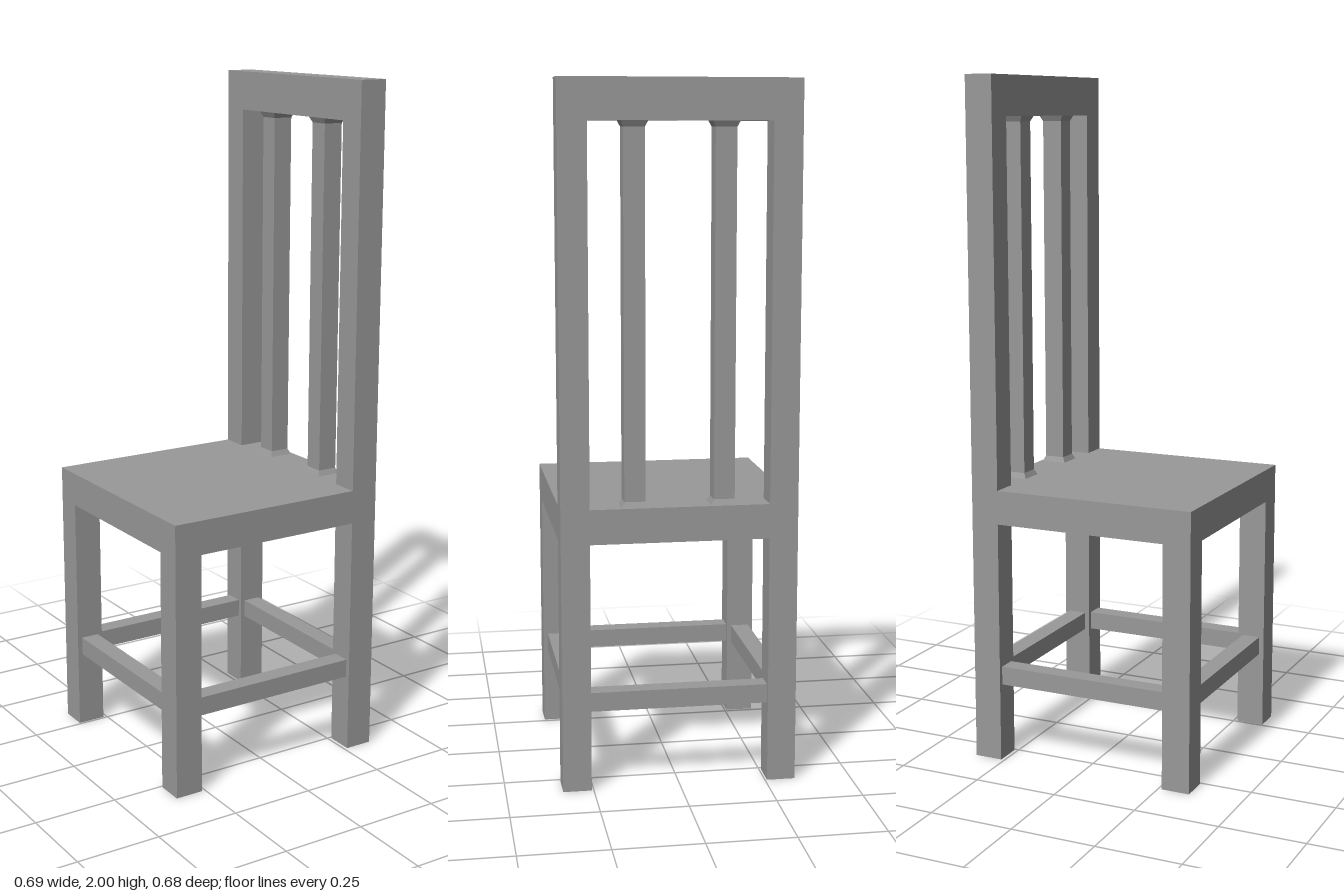
import * as THREE from 'three';

export function createModel() {
  const chair = new THREE.Group();
  chair.name = 'chair';
  const grey = new THREE.MeshStandardMaterial({ color: 0x999999 });
  grey.name = 'plain grey';

  const W = 0.69, D = 0.676;          // overall footprint
  const LX = 0.084, LZ = 0.082;       // leg section
  const SEAT_LOW = 0.72, SEAT_TOP = 0.82, RAIL_LOW = 1.885, TOP = 2;
  const legX = (W - LX) / 2, legZ = (D - LZ) / 2;

  const add = (name, geometry, x, y, z) => {
    const mesh = new THREE.Mesh(geometry, grey);
    mesh.name = name;
    mesh.position.set(x, y, z);
    chair.add(mesh);
  };
  // Box spanning two heights
  const bar = (name, w, d, y0, y1, x, z) =>
    add(name, new THREE.BoxGeometry(w, y1 - y0, d), x, (y0 + y1) / 2, z);

  // Square flare with flat sides, for the ends of the back slats
  const flare = (topWidth, bottomWidth, height) => {
    const g = new THREE.CylinderGeometry(topWidth * Math.SQRT1_2, bottomWidth * Math.SQRT1_2, height, 4)
      .rotateY(Math.PI / 4).toNonIndexed();
    g.computeVertexNormals();
    return g;
  };

  // Seat and top rail
  bar('seat', W, D, SEAT_LOW, SEAT_TOP, 0, 0);
  bar('topRail', LX, D, RAIL_LOW, TOP, legX, 0);

  const S = 0.06, F = 0.076, FH = 0.016, R = 0.055, slatX = 0.3;
  for (const s of [-1, 1]) {
    // Legs and back posts
    bar('frontLeg', LX, LZ, 0, SEAT_LOW, -legX, s * legZ);
    bar('backLeg', LX, LZ, 0, SEAT_LOW, legX, s * legZ);
    bar('backPost', LX, LZ, SEAT_TOP, RAIL_LOW, legX, s * legZ);

    // Stretchers between the legs
    bar('sideStretcher', W - 2 * LX, R, 0.23, 0.285, 0, s * legZ);
    bar(s < 0 ? 'frontStretcher' : 'backStretcher', R, D - 2 * LZ, 0.23, 0.285, s * legX, 0);

    // Back slats with flared ends
    const z = s * 0.127;
    bar('backSlat', S, S, SEAT_TOP + FH, RAIL_LOW - FH, slatX, z);
    add('slatFoot', flare(S, F, FH), slatX, SEAT_TOP + FH / 2, z);
    add('slatHead', flare(F, S, FH), slatX, RAIL_LOW - FH / 2, z);
  }
  return chair;
}
